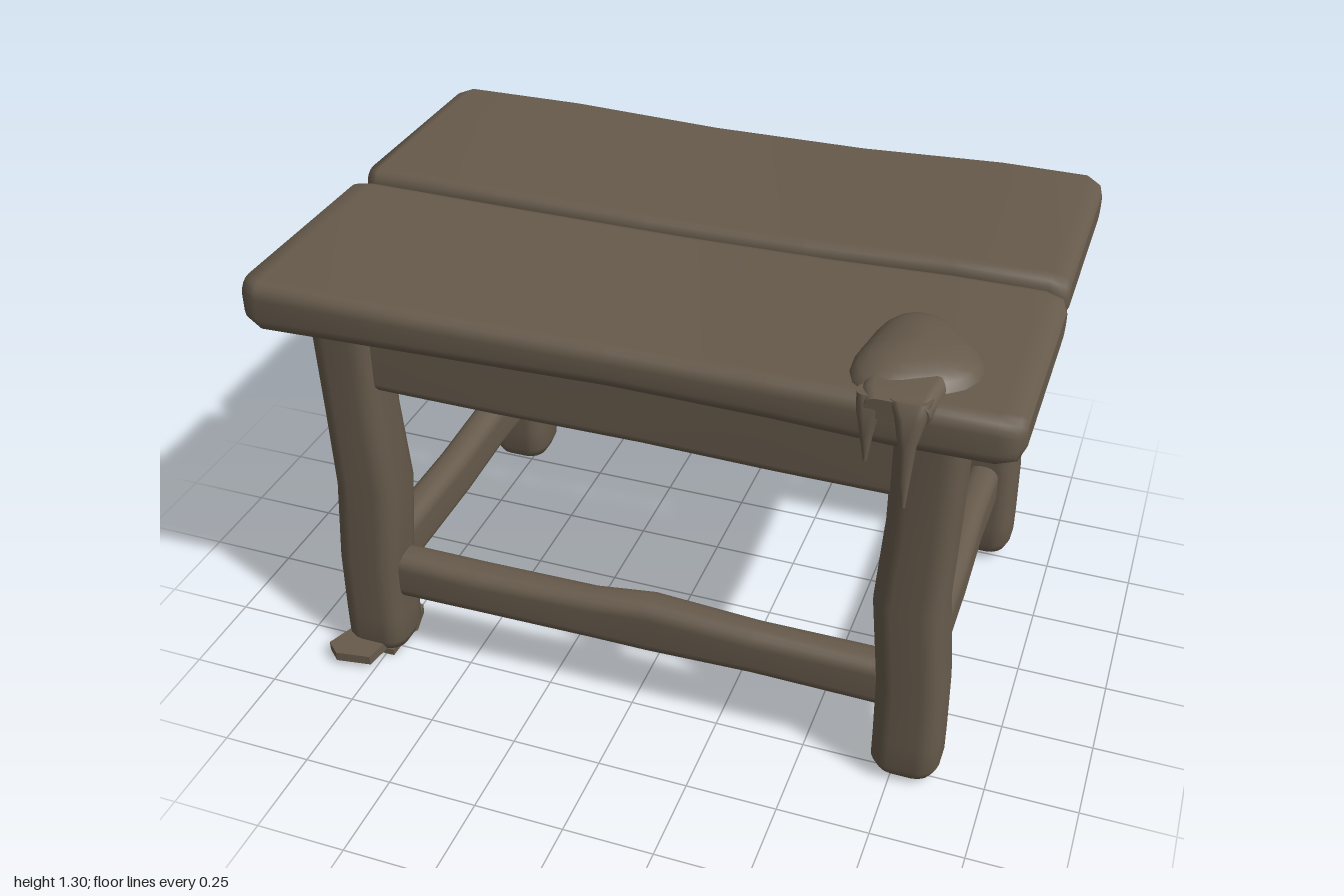
import * as THREE from 'three';

const wood = new THREE.MeshStandardMaterial({ color: 0x665a4b });
wood.name = 'weathered brown wood';

// Loft of rounded rectangles along an axis.
// Station: [t, uMin, uMax, vMin, vMax, radius]; (u, v) is (y,z) for x, (z,x) for y, (x,y) for z.
function loft(axis, stations) {
  const place = {
    x: (u, v, t) => [t, u, v],
    y: (u, v, t) => [v, t, u],
    z: (u, v, t) => [u, v, t],
  }[axis];
  const pos = [], idx = [], seg = 4, n = 4 * (seg + 1);
  const ring = ([t, u0, u1, v0, v1, r]) => {
    r = Math.min(r, (u1 - u0) / 2.05, (v1 - v0) / 2.05);
    const corners = [[u1 - r, v1 - r], [u0 + r, v1 - r], [u0 + r, v0 + r], [u1 - r, v0 + r]];
    corners.forEach(([cu, cv], q) => {
      for (let k = 0; k <= seg; k++) {
        const a = (q + k / seg) * Math.PI / 2;
        pos.push(...place(cu + r * Math.cos(a), cv + r * Math.sin(a), t));
      }
    });
  };
  stations.forEach(ring);
  for (let s = 0; s < stations.length - 1; s++) {
    for (let i = 0; i < n; i++) {
      const a = s * n + i, b = s * n + (i + 1) % n;
      idx.push(a, b, b + n, a, b + n, a + n);
    }
  }
  // End caps with their own vertices
  [[stations[0], true], [stations[stations.length - 1], false]].forEach(([st, first]) => {
    const base = pos.length / 3;
    ring(st);
    pos.push(...place((st[1] + st[2]) / 2, (st[3] + st[4]) / 2, st[0]));
    for (let i = 0; i < n; i++) {
      const a = base + i, b = base + (i + 1) % n;
      idx.push(base + n, first ? b : a, first ? a : b);
    }
  });
  const g = new THREE.BufferGeometry();
  g.setAttribute('position', new THREE.Float32BufferAttribute(pos, 3));
  g.setIndex(idx);
  g.computeVertexNormals();
  return g;
}

export function createModel() {
  const model = new THREE.Group();
  model.name = 'rusticTable';
  const add = (name, geometry) => {
    const mesh = new THREE.Mesh(geometry, wood);
    mesh.name = name;
    model.add(mesh);
    return mesh;
  };

  // Two worn top planks with softened, slightly wavy edges
  add('backPlank', loft('x', [
    [-0.995, 1.14, 1.21, -0.64, -0.07, 0.03],
    [-0.985, 1.115, 1.24, -0.67, -0.04, 0.04],
    [-0.95, 1.11, 1.25, -0.69, -0.025, 0.04],
    [-0.6, 1.12, 1.25, -0.69, -0.022, 0.035],
    [-0.15, 1.12, 1.24, -0.68, -0.025, 0.035],
    [0.3, 1.12, 1.242, -0.68, -0.025, 0.035],
    [0.7, 1.12, 1.255, -0.69, -0.03, 0.035],
    [0.94, 1.12, 1.255, -0.69, -0.03, 0.04],
    [0.98, 1.13, 1.24, -0.67, -0.04, 0.04],
    [0.99, 1.15, 1.22, -0.64, -0.07, 0.03],
  ]));
  add('frontPlank', loft('x', [
    [-1, 1.13, 1.21, 0.02, 0.57, 0.03],
    [-0.985, 1.11, 1.235, 0.0, 0.62, 0.04],
    [-0.93, 1.105, 1.245, 0, 0.65, 0.04],
    [-0.5, 1.115, 1.24, 0, 0.645, 0.04],
    [0, 1.12, 1.235, -0.005, 0.63, 0.04],
    [0.4, 1.12, 1.24, -0.005, 0.635, 0.04],
    [0.7, 1.12, 1.25, -0.005, 0.65, 0.04],
    [0.94, 1.12, 1.25, -0.005, 0.645, 0.04],
    [0.985, 1.125, 1.24, 0.005, 0.625, 0.04],
    [1, 1.15, 1.22, 0.04, 0.59, 0.03],
  ]));

  // Small fillers closing the ends of the gap between the planks
  for (const side of [-1, 1]) {
    const filler = add('gapFiller', new THREE.BoxGeometry(0.25, 0.07, 0.06));
    filler.position.set(side * 0.85, 1.15, -0.015);
  }

  // Four gnarled legs with rounded feet; inner and outer x per height
  const legProfile = [
    [0.14, 0.69, 0.875], [0.32, 0.688, 0.872], [0.58, 0.664, 0.85], [0.82, 0.676, 0.862], [1.14, 0.682, 0.865],
  ];
  const makeLeg = (name, side, z0, z1, foot) => {
    const row = (y, inner, outer, inset, r) => {
      const xs = [side * (inner + inset), side * (outer - inset)].sort((a, b) => a - b);
      return [y, z0 + inset, z1 - inset, xs[0], xs[1], r];
    };
    add(name, loft('y', [
      row(foot, 0.69, 0.875, 0.04, 0.04),
      row(foot + 0.015, 0.69, 0.875, 0.015, 0.05),
      row(foot + 0.05, 0.69, 0.875, 0, 0.055),
      ...legProfile.map(([y, a, b]) => row(y, a, b, y === 0.82 ? 0.004 : 0, 0.055)),
    ]));
  };
  for (const [label, side] of [['Left', 1], ['Right', -1]]) {
    makeLeg('front' + label + 'Leg', side, 0.385, 0.56, 0.005);
    makeLeg('back' + label + 'Leg', side, -0.625, -0.45, 0.02);
  }

  // Front and back aprons and stretchers
  for (const [label, z] of [['front', 0.47], ['back', -0.535]]) {
    add(label + 'Apron', loft('x', [
      [-0.76, 0.905, 1.14, z - 0.06, z + 0.06, 0.03],
      [-0.35, 0.903, 1.14, z - 0.065, z + 0.06, 0.03],
      [0.05, 0.902, 1.14, z - 0.06, z + 0.055, 0.03],
      [0.4, 0.9, 1.14, z - 0.06, z + 0.06, 0.03],
      [0.76, 0.9, 1.14, z - 0.06, z + 0.06, 0.03],
    ]));
    add(label + 'Stretcher', loft('x', [
      [-0.76, 0.195, 0.345, z - 0.05, z + 0.05, 0.04],
      [-0.45, 0.205, 0.345, z - 0.05, z + 0.055, 0.04],
      [-0.12, 0.2, 0.35, z - 0.05, z + 0.045, 0.04],
      [0.05, 0.205, 0.37, z - 0.055, z + 0.05, 0.04],
      [0.35, 0.215, 0.358, z - 0.05, z + 0.05, 0.04],
      [0.76, 0.21, 0.36, z - 0.05, z + 0.05, 0.04],
    ]));
  }

  // Side aprons and stretchers
  for (const [label, x] of [['left', 0.775], ['right', -0.775]]) {
    add(label + 'Apron', loft('z', [
      [-0.53, x - 0.06, x + 0.06, 0.905, 1.14, 0.03],
      [-0.2, x - 0.065, x + 0.055, 0.9, 1.14, 0.03],
      [0.1, x - 0.06, x + 0.06, 0.895, 1.14, 0.03],
      [0.47, x - 0.06, x + 0.06, 0.9, 1.14, 0.03],
    ]));
    add(label + 'Stretcher', loft('z', [
      [-0.53, x - 0.05, x + 0.05, 0.205, 0.362, 0.04],
      [-0.25, x - 0.052, x + 0.045, 0.205, 0.355, 0.04],
      [0, x - 0.045, x + 0.05, 0.198, 0.352, 0.04],
      [0.47, x - 0.05, x + 0.05, 0.195, 0.35, 0.04],
    ]));
  }

  // Melted wax mound with two drips over the front edge
  const mound = new THREE.SphereGeometry(1, 24, 12);
  const p = mound.attributes.position;
  for (let i = 0; i < p.count; i++) {
    const x = p.getX(i), y = p.getY(i), z = p.getZ(i);
    const ripple = 1 + 0.12 * Math.sin(3 * Math.atan2(z, x) + 1);
    p.setXYZ(i, x * 0.15 * ripple, y * 0.068, z * 0.19 * ripple);
  }
  mound.computeVertexNormals();
  add('waxMound', mound).position.set(0.71, 1.235, 0.44);
  add('waxLip', loft('z', [
    [0.45, 0.61, 0.82, 1.2, 1.285, 0.03],
    [0.62, 0.62, 0.8, 1.2, 1.272, 0.03],
    [0.66, 0.64, 0.79, 1.21, 1.262, 0.025],
  ]));
  add('longDrip', loft('y', [
    [1.0, 0.678, 0.688, 0.747, 0.757, 0.005],
    [1.07, 0.667, 0.69, 0.735, 0.762, 0.012],
    [1.16, 0.645, 0.687, 0.725, 0.768, 0.02],
    [1.23, 0.62, 0.682, 0.71, 0.785, 0.025],
    [1.265, 0.6, 0.66, 0.69, 0.79, 0.025],
  ]));
  add('shortDrip', loft('y', [
    [1.09, 0.65, 0.66, 0.645, 0.655, 0.005],
    [1.15, 0.635, 0.665, 0.635, 0.662, 0.012],
    [1.22, 0.62, 0.665, 0.62, 0.675, 0.02],
    [1.26, 0.6, 0.65, 0.615, 0.7, 0.02],
  ]));

  // Splintered shim under the front right foot
  const outline = [
    [-0.9, 0.6], [-0.86, 0.635], [-0.76, 0.62], [-0.74, 0.5], [-0.7, 0.44],
    [-0.72, 0.36], [-0.79, 0.335], [-0.83, 0.4], [-0.9, 0.43], [-0.87, 0.52],
  ];
  const shim = new THREE.ExtrudeGeometry(
    new THREE.Shape(outline.map(([x, z]) => new THREE.Vector2(x, -z))),
    { depth: 0.028, bevelEnabled: false });
  shim.rotateX(-Math.PI / 2);
  add('footShim', shim).position.y = 0.017;
  const wedge = add('footWedge', new THREE.BoxGeometry(0.13, 0.02, 0.15));
  wedge.position.set(-0.79, 0.01, 0.47);

  return model;
}
